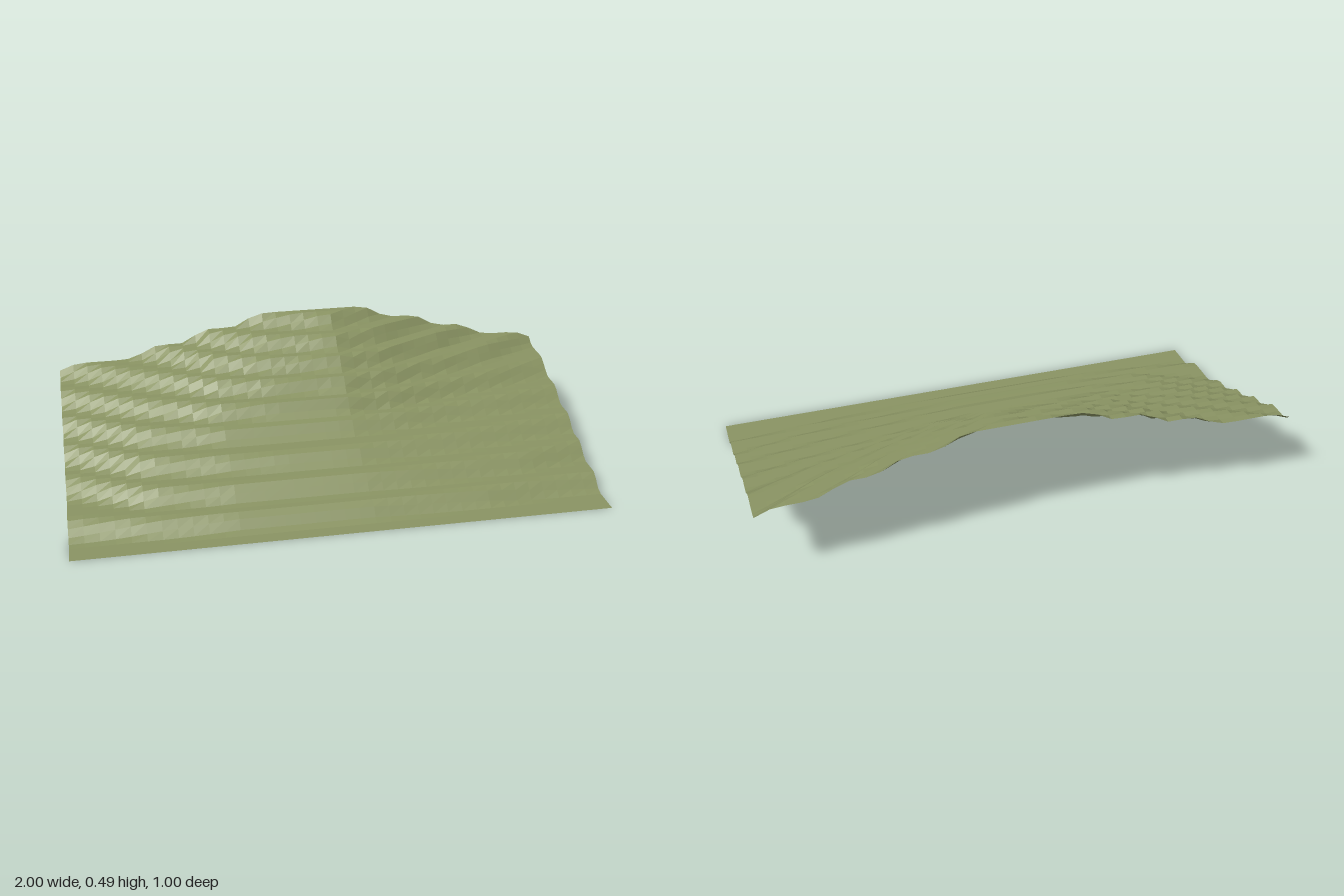
import * as THREE from 'three';

const SEGMENTS = 36;
const STEP = 0.0547; // height of one terrace

// Terrace contours: [x, z of each successive rise, front to back]
const CONTOURS = [
  [-1.0, 0.34, 0.11, -0.05, -0.19, -0.33, -0.5, -0.66, -0.8, -0.95],
  [-0.7, 0.38, 0.25, 0.11, -0.03, -0.18, -0.34, -0.53, -0.7, -0.88],
  [-0.4, 0.4, 0.28, 0.15, 0.02, -0.08, -0.2, -0.32, -0.46, -0.6],
  [-0.2, 0.4, 0.28, 0.16, 0.02, -0.06, -0.16, -0.26, -0.36, -0.48],
  [0.1, 0.4, 0.28, 0.16, 0.02, -0.06, -0.14, -0.225, -0.31, -0.42],
  [0.3, 0.39, 0.27, 0.14, 0.0, -0.09, -0.18, -0.27, -0.37, -0.49],
  [0.55, 0.38, 0.25, 0.11, -0.04, -0.15, -0.26, -0.38, -0.51, -0.65],
  [0.75, 0.36, 0.23, 0.08, -0.07, -0.2, -0.34, -0.51, -0.67, -0.83],
  [1.0, 0.34, 0.18, 0.04, -0.12, -0.29, -0.5, -0.67, -0.83, -1.0],
];

// Positions of the rises at a given x
function risesAt(x) {
  let i = 0;
  while (i < CONTOURS.length - 2 && x > CONTOURS[i + 1][0]) i++;
  const a = CONTOURS[i], b = CONTOURS[i + 1];
  const t = (x - a[0]) / (b[0] - a[0]);
  return a.slice(1).map((z, k) => THREE.MathUtils.lerp(z, b[k + 1], t));
}

// Each rise adds one smooth step, spread over part of the gap to its neighbours
function heightAt(x, z) {
  const rises = risesAt(x);
  return rises.reduce((sum, centre, k) => {
    const before = k > 0 ? rises[k - 1] - centre : 0.12;
    const after = k < rises.length - 1 ? centre - rises[k + 1] : before;
    const half = 0.15 * (before + after);
    return sum + STEP * THREE.MathUtils.smoothstep(centre - z, -half, half);
  }, 0);
}

export function createModel() {
  const group = new THREE.Group();
  group.name = 'terracedHillside';

  // Thin open sheet lifted into stepped terraces
  const geometry = new THREE.PlaneGeometry(2, 1, SEGMENTS, SEGMENTS);
  geometry.rotateX(-Math.PI / 2);
  const p = geometry.attributes.position;
  for (let i = 0; i < p.count; i++) p.setY(i, heightAt(p.getX(i), p.getZ(i)));
  geometry.computeVertexNormals();

  const material = new THREE.MeshStandardMaterial({
    color: 0x8a9463, flatShading: true, side: THREE.DoubleSide,
  });
  const hillside = new THREE.Mesh(geometry, material);
  hillside.name = 'terraces';
  group.add(hillside);
  return group;
}
